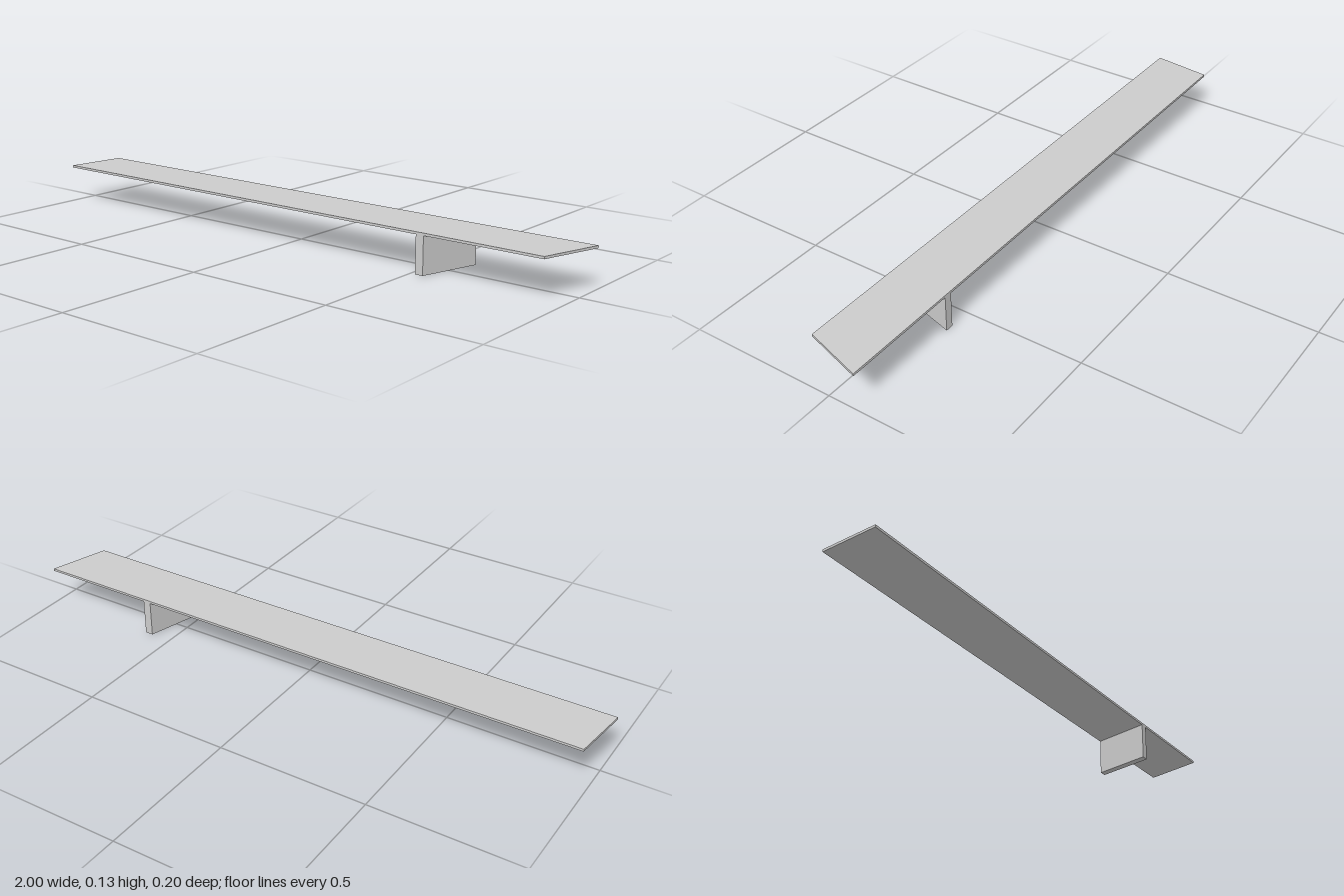
import * as THREE from 'three';

const HALF_DEPTH = 0.1;

// Upright prism whose footprint has skewed left and right ends
function skewedSlab(name, material, front, back, bottom, top) {
  const outline = new THREE.Shape([
    new THREE.Vector2(front[0], -HALF_DEPTH),
    new THREE.Vector2(front[1], -HALF_DEPTH),
    new THREE.Vector2(back[1], HALF_DEPTH),
    new THREE.Vector2(back[0], HALF_DEPTH),
  ]);
  const geometry = new THREE.ExtrudeGeometry(outline, { depth: top - bottom, bevelEnabled: false });
  geometry.rotateX(-Math.PI / 2);
  geometry.translate(0, bottom, 0);
  const mesh = new THREE.Mesh(geometry, material);
  mesh.name = name;
  return mesh;
}

export function createModel() {
  const model = new THREE.Group();
  model.name = 'shelf';
  const material = new THREE.MeshStandardMaterial({ color: 0xcccccc });

  // Long thin board with angled ends
  model.add(skewedSlab('board', material, [-1, 0.94], [-0.975, 1], 0.122, 0.13));

  // Slanted upright under the board, parallel to its left end
  model.add(skewedSlab('support', material, [0.517, 0.544], [0.573, 0.6], 0, 0.122));

  return model;
}
